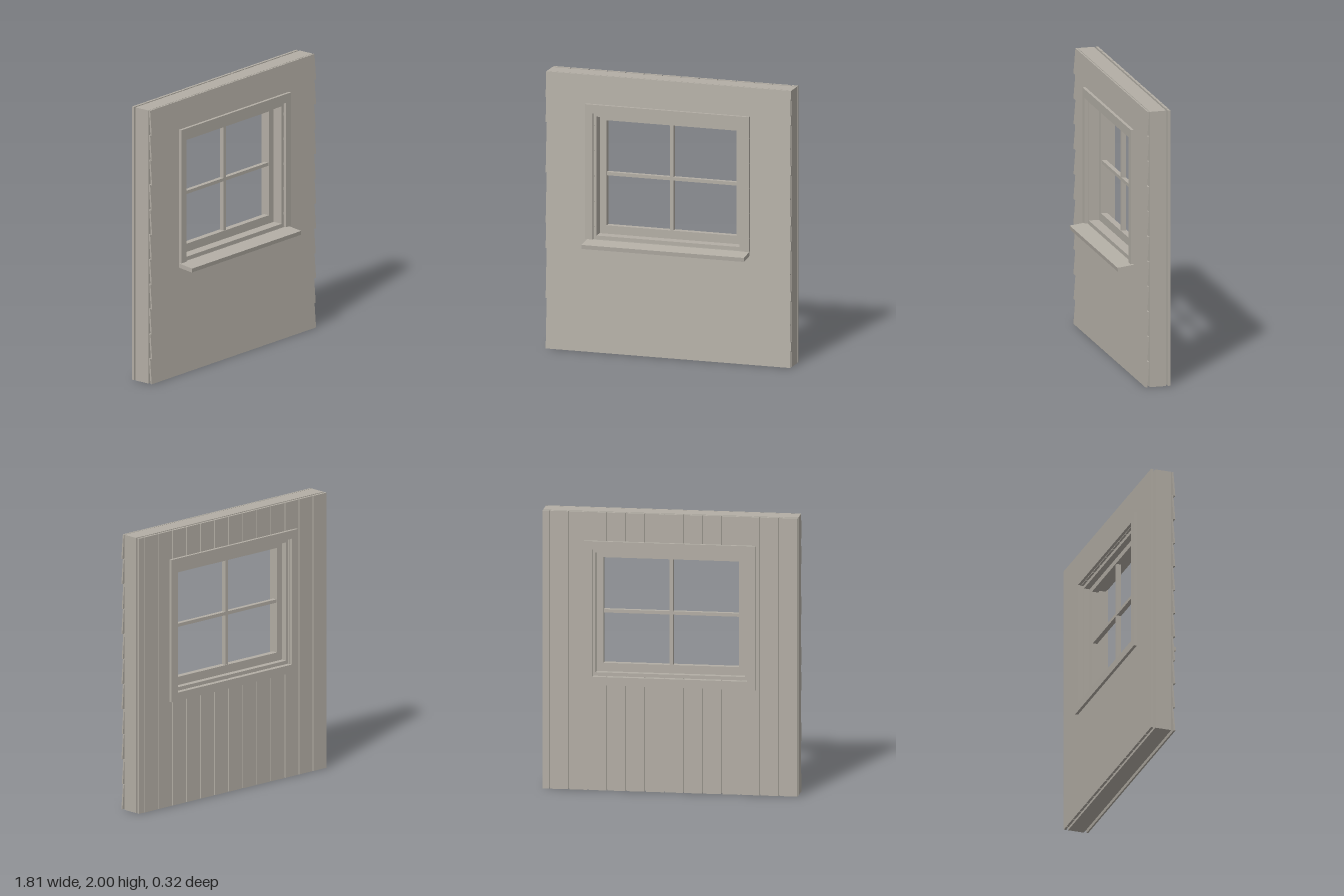
import * as THREE from 'three';

export function createModel() {
  const model = new THREE.Group();
  model.name = 'wallWithWindow';
  const wood = new THREE.MeshStandardMaterial({ color: 0xb3aea5 });
  wood.name = 'greyWood';

  const HALF = 0.905, HEIGHT = 2;
  // Rough window opening shared by the wall, siding and inner boards
  const open = { x: 0.545, y0: 0.82, y1: 1.73 };

  function add(geometry, name, parent = model) {
    const mesh = new THREE.Mesh(geometry, wood);
    mesh.name = name;
    parent.add(mesh);
    return mesh;
  }
  function box(x0, x1, y0, y1, z0, z1, name, parent) {
    const mesh = add(new THREE.BoxGeometry(x1 - x0, y1 - y0, z1 - z0), name, parent);
    mesh.position.set((x0 + x1) / 2, (y0 + y1) / 2, (z0 + z1) / 2);
    return mesh;
  }
  const rect = (Type, x, y0, y1) => new Type([
    new THREE.Vector2(-x, y0), new THREE.Vector2(x, y0),
    new THREE.Vector2(x, y1), new THREE.Vector2(-x, y1),
  ]);
  // Rectangular ring: outer and inner are [halfWidth, bottom, top]
  function ring(outer, inner, z0, z1, name) {
    const shape = rect(THREE.Shape, ...outer);
    shape.holes.push(rect(THREE.Path, ...inner));
    const geometry = new THREE.ExtrudeGeometry(shape, { depth: z1 - z0, bevelEnabled: false });
    geometry.translate(0, 0, z0);
    return add(geometry, name);
  }
  function group(name) {
    const g = new THREE.Group();
    g.name = name;
    model.add(g);
    return g;
  }

  // Solid wall with the window opening
  ring([HALF, 0, HEIGHT], [open.x, open.y0, open.y1], -0.106, 0.012, 'wallCore');

  // Lapped siding: each board leans out at its lower edge
  const siding = group('siding');
  const ROWS = 11, pitch = HEIGHT / ROWS;
  function sidingPiece(row, y0, y1, x0, x1) {
    const back = y => 0.031 - 0.015 * (y - row * pitch) / pitch;
    const profile = new THREE.Shape([
      new THREE.Vector2(-back(y0), y0), new THREE.Vector2(-back(y1), y1),
      new THREE.Vector2(-back(y1) - 0.012, y1), new THREE.Vector2(-back(y0) - 0.012, y0),
    ]);
    const geometry = new THREE.ExtrudeGeometry(profile, { depth: x1 - x0, bevelEnabled: false });
    geometry.rotateY(Math.PI / 2).translate(x0, 0, 0);
    add(geometry, 'sidingBoard', siding);
  }
  for (let row = 0; row < ROWS; row++) {
    const bottom = row * pitch, top = Math.min(HEIGHT, bottom + pitch + 0.002);
    const cuts = [bottom, ...[open.y0, open.y1].filter(y => y > bottom && y < top), top];
    for (let i = 0; i + 1 < cuts.length; i++) {
      const middle = (cuts[i] + cuts[i + 1]) / 2;
      const end = [1, 3, 6, 8].includes(row) ? HALF - 0.004 : HALF;
      if (middle > open.y0 && middle < open.y1) {
        sidingPiece(row, cuts[i], cuts[i + 1], -end, -open.x);
        sidingPiece(row, cuts[i], cuts[i + 1], open.x, end);
      } else sidingPiece(row, cuts[i], cuts[i + 1], -end, end);
    }
  }

  // Vertical inner boards, cut around the opening
  const boards = group('innerBoards');
  const width = 0.1357, gap = 0.008;
  for (let x = -HALF; x < HALF - 0.01; x += width) {
    const x0 = x, x1 = Math.min(HALF, x + width - gap);
    const board = (a, b, y0, y1) => box(a, b, y0, y1, -0.138, -0.12, 'innerBoard', boards);
    if (x1 <= -open.x || x0 >= open.x) {
      board(x0, x1, 0, HEIGHT);
      continue;
    }
    board(x0, x1, 0, open.y0);
    board(x0, x1, open.y1, HEIGHT);
    if (x0 < -open.x) board(x0, -open.x, open.y0, open.y1);
    if (x1 > open.x) board(open.x, x1, open.y0, open.y1);
  }

  // Window lining and sash
  ring([open.x, open.y0, open.y1], [0.53, 0.845, 1.705], -0.122, 0.04, 'windowLining');
  ring([0.53, 0.845, 1.705], [0.48, 0.905, 1.665], -0.08, -0.035, 'windowSash');
  box(-0.0125, 0.0125, 0.905, 1.665, -0.074, -0.041, 'verticalGlazingBar');
  for (const s of [-1, 1])
    box(s < 0 ? -0.48 : 0.0125, s < 0 ? -0.0125 : 0.48, 1.266, 1.29, -0.074, -0.041, 'horizontalGlazingBar');

  // Inner trim on all four sides
  ring([0.61, 0.76, 1.795], [0.55, 0.82, 1.735], -0.159, -0.138, 'innerTrim');

  // Outer trim: two sides and a head
  const trim = group('outerTrim');
  for (const s of [-1, 1])
    box(s < 0 ? -0.605 : 0.55, s < 0 ? -0.55 : 0.605, 0.82, 1.732, 0.042, 0.064, 'sideTrim', trim);
  box(-0.605, 0.605, 1.732, 1.795, 0.042, 0.064, 'headTrim', trim);

  // Sloping outer sill
  const sill = box(-0.6, 0.6, 0.777, 0.807, 0.036, 0.158, 'outerSill');
  sill.rotation.x = 0.12;

  return model;
}
